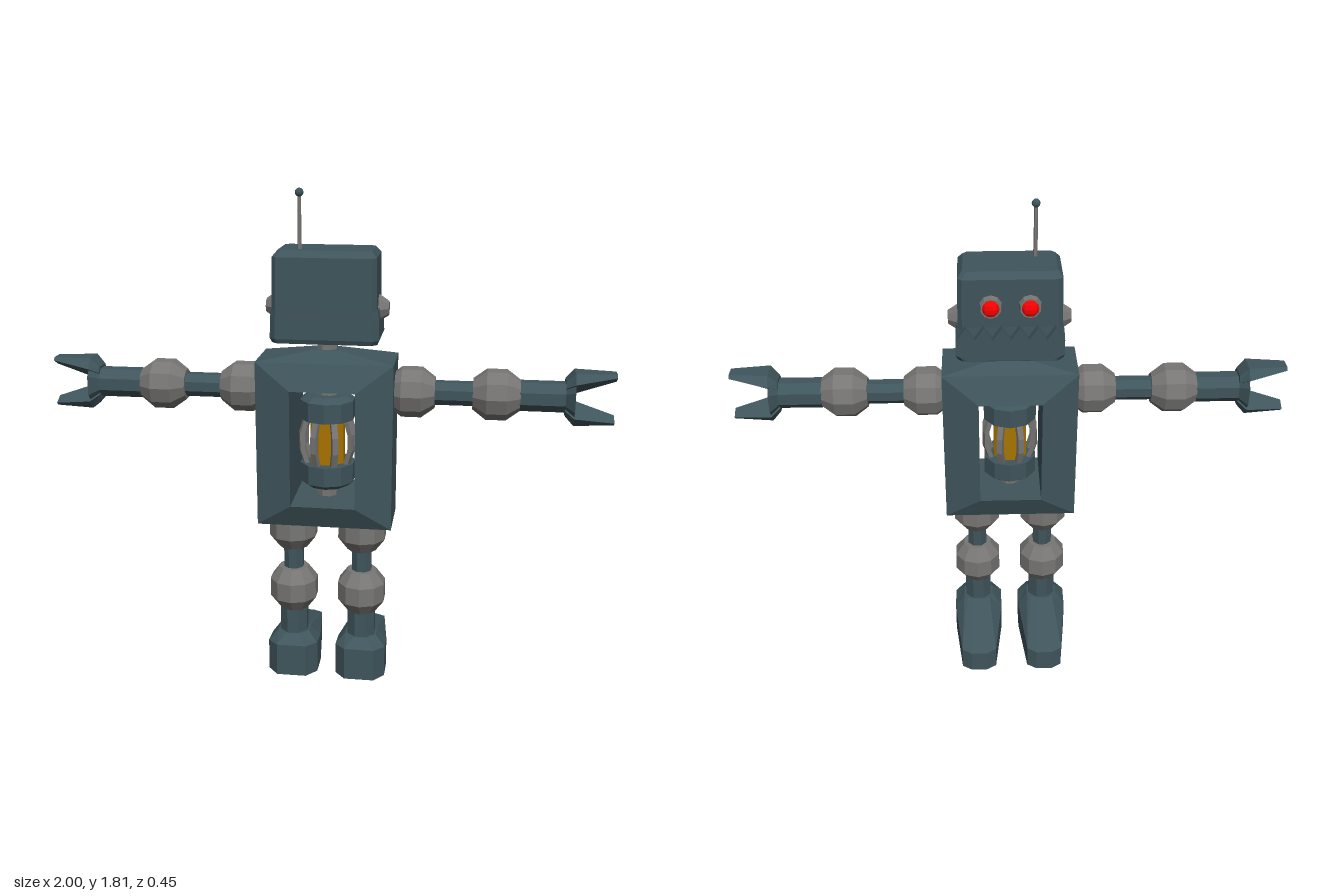
import * as THREE from 'three';

const paint = (color) => new THREE.MeshStandardMaterial({ color, flatShading: true, side: THREE.DoubleSide });
const teal = paint(0x3f555c), grey = paint(0x777674), amber = paint(0xa87400), red = paint(0xff0000);
const Z = 0.075; // depth of the body's centre line

function add(parent, name, geometry, material, x = 0, y = 0, z = 0) {
  const mesh = new THREE.Mesh(geometry, material);
  mesh.name = name;
  mesh.position.set(x, y, z);
  parent.add(mesh);
  return mesh;
}

// Skin a list of rings (each a list of [x, y, z]) with flat faces
function loft(rings, caps = true) {
  const p = [], n = rings[0].length;
  for (let i = 0; i < rings.length - 1; i++) {
    for (let j = 0; j < n; j++) {
      const k = (j + 1) % n;
      const a = rings[i][j], b = rings[i][k], c = rings[i + 1][k], d = rings[i + 1][j];
      p.push(...a, ...d, ...c, ...a, ...c, ...b);
    }
  }
  if (caps) {
    const first = rings[0], last = rings[rings.length - 1];
    for (let j = 1; j < n - 1; j++) {
      p.push(...first[0], ...first[j], ...first[j + 1]);
      p.push(...last[0], ...last[j + 1], ...last[j]);
    }
  }
  const g = new THREE.BufferGeometry();
  g.setAttribute('position', new THREE.Float32BufferAttribute(p, 3));
  g.computeVertexNormals();
  return g;
}

// Horizontal rectangle with cut corners
const slab = (w, z0, z1, y, c) => [
  [w, y, z0 + c], [w, y, z1 - c], [w - c, y, z1], [-w + c, y, z1],
  [-w, y, z1 - c], [-w, y, z0 + c], [-w + c, y, z0], [w - c, y, z0]];

// Upright rectangle at depth z
const pane = (w, bottom, top, z) => [[-w, bottom, z], [-w, top, z], [w, top, z], [w, bottom, z]];

// Eight-sided rod whose length runs along y
const rod = (rTop, rBottom, length, sides = 8) =>
  new THREE.CylinderGeometry(rTop, rBottom, length, sides).rotateY(Math.PI / 8);

// Faceted ball joint with flat ends
const joint = () => new THREE.LatheGeometry(
  [[0, -0.082], [0.055, -0.082], [0.09, -0.035], [0.09, 0.035], [0.055, 0.082], [0, 0.082]]
    .map(([r, y]) => new THREE.Vector2(r, y)), 10);

function buildHead() {
  const head = new THREE.Group();
  head.name = 'head';
  add(head, 'skull', loft([
    slab(0.165, -0.02, 0.165, 1.29, 0.015), slab(0.182, -0.027, 0.183, 1.305, 0.015),
    slab(0.178, -0.027, 0.183, 1.585, 0.015), slab(0.16, -0.008, 0.165, 1.607, 0.015)]), teal);

  // Lower jaw wraps the head, with a saw-toothed plate in front
  add(head, 'jaw', loft([
    slab(0.183, -0.045, 0.178, 1.289, 0.02), slab(0.19, -0.05, 0.185, 1.305, 0.02),
    slab(0.188, -0.03, 0.185, 1.375, 0.02), slab(0.184, -0.027, 0.184, 1.41, 0.02)]), teal);
  const plate = new THREE.Shape();
  plate.moveTo(-0.15, 1.305).lineTo(0.15, 1.305).lineTo(0.185, 1.33).lineTo(0.185, 1.38);
  const teeth = 6, step = 0.37 / teeth;
  for (let i = 0; i < teeth; i++) {
    plate.lineTo(0.185 - (i + 0.5) * step, 1.425);
    plate.lineTo(0.185 - (i + 1) * step, 1.38);
  }
  plate.lineTo(-0.185, 1.33);
  add(head, 'teeth', new THREE.ExtrudeGeometry(plate, { depth: 0.03, bevelEnabled: false }), teal, 0, 0, -0.07);

  for (const s of [-1, 1]) {
    const ear = add(head, 'ear', new THREE.CylinderGeometry(0.025, 0.052, 0.04, 8), grey, s * 0.195, 1.403, Z);
    ear.rotation.z = -s * Math.PI / 2;
    const socket = add(head, 'eyeSocket', new THREE.CylinderGeometry(0.036, 0.041, 0.03, 10), grey, s * 0.067, 1.49, -0.035);
    socket.rotation.x = -Math.PI / 2;
    const eye = add(head, 'eye', new THREE.SphereGeometry(0.031, 8, 6), red, s * 0.067, 1.49, -0.048);
    eye.scale.z = 0.6;
  }
  add(head, 'antennaRod', rod(0.006, 0.008, 0.2, 6), grey, -0.09, 1.695, 0.12);
  add(head, 'antennaTip', new THREE.SphereGeometry(0.015, 8, 6), teal, -0.09, 1.795, 0.12);
  add(head, 'neck', rod(0.037, 0.037, 0.08), grey, 0, 1.265, Z);
  return head;
}

function buildTorso() {
  const torso = new THREE.Group();
  torso.name = 'torso';
  const back = pane(0.113, 0.715, 1.125, -0.072);
  add(torso, 'frame', loft([
    back, pane(0.242, 0.62, 1.222, -0.03), pane(0.242, 0.62, 1.222, 0.183),
    pane(0.115, 0.708, 1.13, 0.225), back], false), teal);
  add(torso, 'collar', loft([slab(0.242, -0.03, 0.183, 1.222, 0), slab(0.045, 0.04, 0.11, 1.255, 0)]), teal);

  // Caged power core in the chest opening
  add(torso, 'coreAxle', rod(0.037, 0.037, 0.44), grey, 0, 0.92, Z);
  add(torso, 'coreGlow', rod(0.065, 0.065, 0.2), amber, 0, 0.915, Z);
  for (const s of [-1, 1]) {
    const cap = add(torso, 'coreCap', new THREE.LatheGeometry(
      [[0, -0.04], [0.1, -0.04], [0.1, 0.03], [0.075, 0.048], [0, 0.048]]
        .map(([r, y]) => new THREE.Vector2(r, y)), 10), teal, 0, 0.92 + s * 0.122, Z);
    cap.rotation.z = s > 0 ? 0 : Math.PI;
  }
  for (let i = 0; i < 8; i++) {
    const rib = new THREE.Group();
    rib.name = 'coreRib';
    rib.position.set(0, 0.92, Z);
    rib.rotation.y = (i + 0.5) * Math.PI / 4;
    const section = (r, y) => [[r, y, -0.011], [r, y, 0.011], [r - 0.018, y, 0.011], [r - 0.018, y, -0.011]];
    add(rib, 'coreBar', loft([section(0.082, -0.1), section(0.105, -0.03), section(0.105, 0.03), section(0.082, 0.1)]), grey);
    torso.add(rib);
  }
  return torso;
}

// Arm along +x, turned around for the other side
function buildArm(name, turn) {
  const arm = new THREE.Group();
  arm.name = name;
  arm.position.set(0, 1.107, Z);
  arm.rotation.y = turn;
  const along = (part, geometry, material, x) => add(arm, part, geometry.rotateZ(-Math.PI / 2), material, x);
  along('shoulder', joint(), grey, 0.3);
  along('upperArm', rod(0.044, 0.044, 0.16), teal, 0.445);
  along('elbow', joint(), grey, 0.595);
  along('forearm', rod(0.055, 0.055, 0.18), teal, 0.75);
  along('wrist', rod(0.09, 0.055, 0.03), teal, 0.845);
  const section = (x, top, w, side, v, apex) =>
    [[x, top, w], [x, top, -w], [x, side, -v], [x, apex, 0], [x, side, v]];
  for (const flip of [0, Math.PI]) {
    const claw = add(arm, 'claw', loft([
      section(0.83, 0.06, 0.03, 0.04, 0.045, 0.005), section(0.86, 0.092, 0.04, 0.06, 0.072, 0.012),
      section(1.0, 0.09, 0.024, 0.08, 0.035, 0.06)]), teal);
    claw.rotation.x = flip;
  }
  return arm;
}

function buildLeg(name, side) {
  const leg = new THREE.Group();
  leg.name = name;
  leg.position.set(side * 0.128, 0, 0);
  add(leg, 'hip', joint(), grey, 0, 0.583, Z);
  add(leg, 'thigh', rod(0.038, 0.038, 0.14), teal, 0, 0.46, Z);
  add(leg, 'knee', joint(), grey, 0, 0.335, Z);
  add(leg, 'shin', rod(0.054, 0.054, 0.13), teal, 0, 0.205, Z);

  // Foot tapers to the toe and slopes up to the ankle
  const mirrored = (half) => [...half, ...half.slice().reverse().map(([x, y, z]) => [-x, y, z])];
  const sole = [[0.03, -0.222], [0.066, -0.2], [0.093, 0.03], [0.093, 0.12], [0.055, 0.165]];
  const ankle = [[0.02, 0.02], [0.045, 0.028], [0.058, 0.055], [0.058, 0.1], [0.025, 0.13]];
  add(leg, 'foot', loft([
    mirrored(sole.map(([x, z]) => [x, 0, z])),
    mirrored(sole.map(([x, z]) => [x, 0.108 + z * 0.1, z])),
    mirrored(ankle.map(([x, z]) => [x, 0.158, z]))]), teal);
  return leg;
}

export function createModel() {
  const robot = new THREE.Group();
  robot.name = 'robot';
  robot.add(
    buildHead(), buildTorso(),
    buildArm('leftArm', 0), buildArm('rightArm', Math.PI),
    buildLeg('leftLeg', 1), buildLeg('rightLeg', -1));
  return robot;
}
